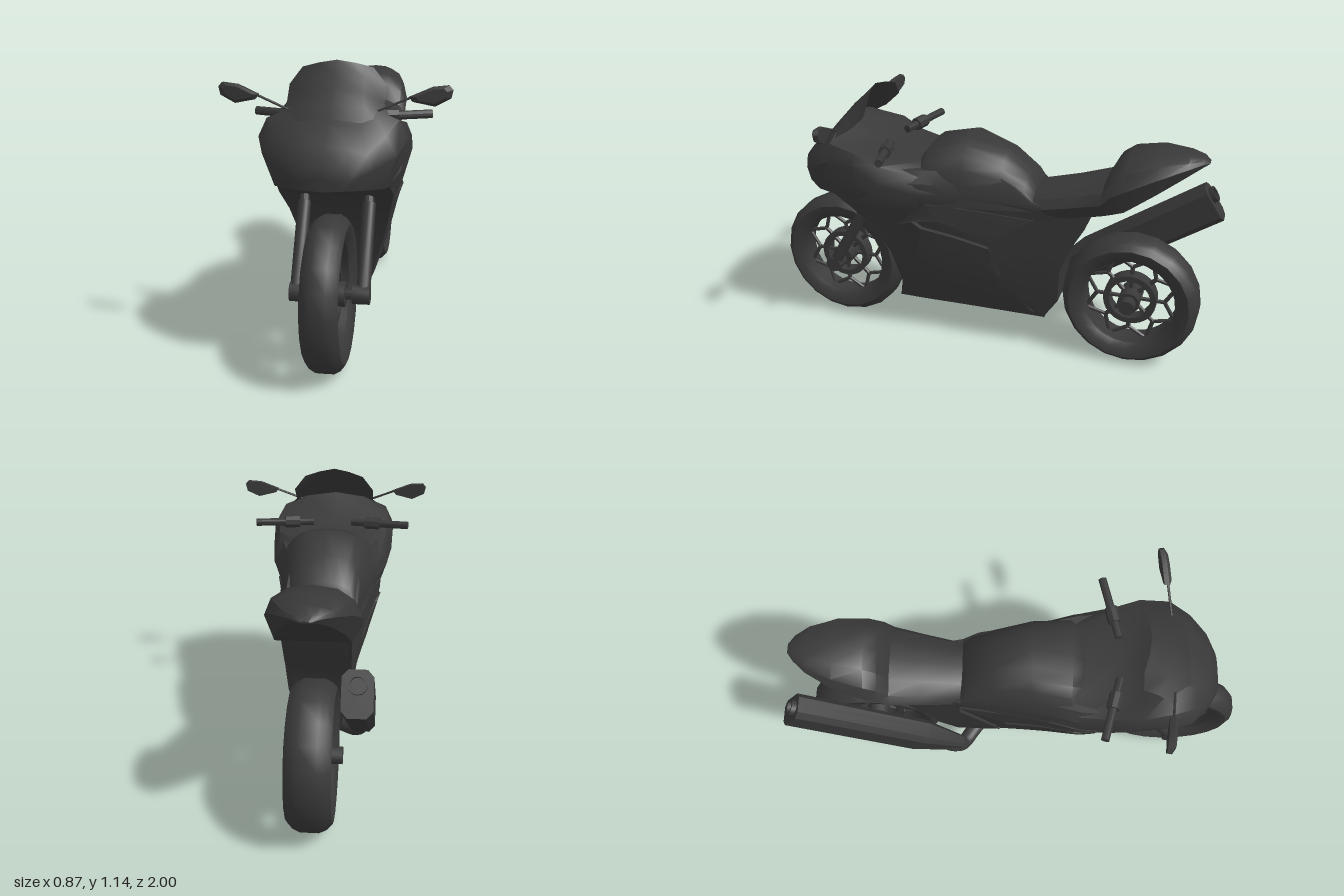
import * as THREE from 'three';
import { toCreasedNormals } from 'three/addons/utils/BufferGeometryUtils.js';

const paint = new THREE.MeshStandardMaterial({ color: 0x383838, side: THREE.DoubleSide });
const V = (x, y, z) => new THREE.Vector3(x, y, z);

function add(parent, name, geometry, crease = 0.6) {
  const mesh = new THREE.Mesh(toCreasedNormals(geometry, crease), paint);
  mesh.name = name;
  parent.add(mesh);
  return mesh;
}

function build(points, index) {
  const g = new THREE.BufferGeometry();
  g.setAttribute('position', new THREE.Float32BufferAttribute(points.flat(), 3));
  g.setIndex(index);
  return g;
}

// Skin over closed rings, capped at both ends
function loft(rings) {
  const n = rings[0].length, pts = rings.flat(), idx = [];
  for (let i = 0; i < rings.length - 1; i++) for (let j = 0; j < n; j++) {
    const a = i * n + j, b = i * n + (j + 1) % n;
    idx.push(a, b, a + n, b, b + n, a + n);
  }
  [0, rings.length - 1].forEach((r) => {
    const c = pts.length;
    pts.push([0, 1, 2].map((k) => rings[r].reduce((s, p) => s + p[k], 0) / n));
    for (let j = 0; j < n; j++) {
      const a = r * n + j, b = r * n + (j + 1) % n;
      idx.push(c, ...(r ? [a, b] : [b, a]));
    }
  });
  return build(pts, idx);
}

// Sheet over rows of points
function sheet(rows) {
  const n = rows[0].length, idx = [];
  for (let i = 0; i < rows.length - 1; i++) for (let j = 0; j < n - 1; j++) {
    const a = i * n + j;
    idx.push(a, a + 1, a + n, a + 1, a + n + 1, a + n);
  }
  return build(rows.flat(), idx);
}

// Symmetric ring from a half profile, top centre to bottom centre
const mirrored = (half, z) => [...half, ...half.slice(1, -1).reverse().map(([x, y]) => [-x, y])].map(([x, y]) => [x, y, z]);

// Cylinder between two points
function rod(parent, name, a, b, r, sides = 12) {
  const d = b.clone().sub(a);
  const mesh = add(parent, name, new THREE.CylinderGeometry(r, r, d.length(), sides));
  mesh.position.copy(a).addScaledVector(d, 0.5);
  mesh.quaternion.setFromUnitVectors(V(0, 1, 0), d.normalize());
}

function interp(table, v) {
  if (v <= table[0][0]) return table[0][1];
  for (let i = 1; i < table.length; i++) if (v <= table[i][0]) {
    const [a, p] = table[i - 1], [b, q] = table[i];
    return p + (q - p) * (v - a) / (b - a);
  }
  return table[table.length - 1][1];
}

// Half width of the side fairing at a height and depth
const WIDTH = [[0.15, 0.065], [0.26, 0.12], [0.43, 0.172], [0.55, 0.2], [0.64, 0.23], [0.74, 0.265], [0.8, 0.262], [0.86, 0.22]];
const TAPER = [[-0.5, 0.42], [-0.25, 0.52], [-0.05, 0.66], [0.1, 0.77], [0.25, 0.94], [0.45, 1], [0.55, 0.95], [0.65, 0.82]];
function side(y, z) {
  const k = interp(TAPER, z);
  return interp(WIDTH, y) * (k + (1 - k) * 0.6 * Math.max(0, 1 - y / 0.8));
}

function wheel(name, z, w) {
  const g = new THREE.Group();
  g.name = name;
  const ring = (part, half, seg) => {
    const prof = [...half, ...half.slice().reverse().map(([r, x]) => [r, -x]), half[0]];
    add(g, part, new THREE.LatheGeometry(prof.map((p) => new THREE.Vector2(...p)), seg), 0.65).rotation.z = Math.PI / 2;
  };
  ring('tyre', [[0.2, w * 0.65], [0.225, w * 0.92], [0.26, w], [0.282, w * 0.75], [0.295, w * 0.42]], 20);
  ring('rim', [[0.198, w * 0.6], [0.207, w * 0.68]], 24);
  ring('hubRing', [[0.09, 0.03], [0.115, 0.03]], 24);
  const at = (r, a) => V(0, Math.sin(a) * r, Math.cos(a) * r);
  for (let i = 0; i < 8; i++) {
    const a = i * Math.PI / 4;
    rod(g, 'spoke', at(0.03, a), at(0.15, a), 0.01, 6);
    for (const s of [-1, 1]) rod(g, 'spokeFork', at(0.147, a), at(0.205, a + s * 0.37), 0.009, 6);
  }
  rod(g, 'hub', V(-0.06, 0, 0), V(0.06, 0, 0), 0.048);
  g.position.set(0, 0.295, z);
  return g;
}

export function createModel() {
  const model = new THREE.Group(), bike = new THREE.Group();
  bike.name = 'motorcycle';
  bike.position.x = -0.007;
  model.add(bike);
  bike.add(wheel('frontWheel', 0.705, 0.069), wheel('rearWheel', -0.655, 0.087));

  // Side fairing and frame cover: layers of height, front z, back z
  const layers = [[0.85, 0.4, -0.08], [0.8, 0.5, -0.17], [0.74, 0.56, -0.24], [0.695, 0.64, -0.48], [0.64, 0.55, -0.46],
    [0.55, 0.46, -0.41], [0.43, 0.4, -0.36], [0.26, 0.37, -0.35], [0.147, 0.405, -0.28]];
  add(bike, 'sideFairing', loft(layers.map(([y, f, b]) => {
    const flank = [];
    for (let i = 0; i <= 10; i++) {
      const z = f + (b - f) * i / 10;
      flank.push([side(y, z), y, z]);
    }
    return [[0, y, f - 0.02], ...flank.map(([x, h, z]) => [-x, h, z]), [0, y, b], ...flank.reverse()];
  })), 0.45);

  // Nose cowl
  const cowl = [
    [0.83, [0, 0.8], [0.05, 0.795], [0.085, 0.775], [0.09, 0.745], [0.07, 0.715], [0, 0.71]],
    [0.785, [0, 0.865], [0.085, 0.855], [0.145, 0.835], [0.165, 0.78], [0.14, 0.71], [0, 0.705]],
    [0.71, [0, 0.93], [0.12, 0.915], [0.205, 0.89], [0.245, 0.82], [0.2, 0.7], [0, 0.69]],
    [0.62, [0, 1], [0.14, 0.98], [0.245, 0.935], [0.278, 0.865], [0.215, 0.69], [0, 0.68]],
    [0.5, [0, 0.9], [0.17, 0.915], [0.262, 0.91], [0.283, 0.86], [0.235, 0.66], [0, 0.64]],
    [0.4, [0, 0.865], [0.16, 0.875], [0.25, 0.86], [0.278, 0.79], [0.24, 0.66], [0, 0.64]],
    [0.25, [0, 0.86], [0.15, 0.865], [0.23, 0.83], [0.257, 0.76], [0.215, 0.65], [0, 0.65]],
    [0.08, [0, 0.82], [0.14, 0.81], [0.18, 0.79], [0.2, 0.74], [0.16, 0.66], [0, 0.66]]];
  add(bike, 'noseCowl', loft(cowl.map(([z, ...half]) => mirrored(half, z))), 0.8);

  // Windscreen
  const screen = [
    [[0.2, 0.89, 0.685], [0.12, 0.917, 0.7], [0, 0.932, 0.7]],
    [[0.205, 0.95, 0.61], [0.12, 0.985, 0.642], [0, 0.997, 0.652]],
    [[0.183, 0.985, 0.55], [0.11, 1.025, 0.595], [0, 1.04, 0.615]],
    [[0.185, 1.045, 0.485], [0.11, 1.075, 0.54], [0, 1.09, 0.56]],
    [[0.135, 1.11, 0.48], [0.07, 1.128, 0.5], [0, 1.14, 0.51]]];
  add(bike, 'windscreen', sheet(screen.map((r) => [...r.map(([x, y, z]) => [-x, y, z]), ...r.slice(0, 2).reverse()])), 0.8);

  // Fuel tank: z, top, half width
  const tank = [[0.275, 0.862, 0.19], [0.22, 0.935, 0.222], [0.055, 0.975, 0.2], [-0.105, 0.915, 0.17], [-0.205, 0.835, 0.15], [-0.245, 0.76, 0.142]];
  add(bike, 'fuelTank', loft(tank.map(([z, top, w]) => {
    const half = [];
    for (let i = 0; i <= 6; i++) {
      const a = i * Math.PI / 12;
      half.push([w * Math.sin(a) ** 0.8, 0.7 + (top - 0.7) * Math.max(0, Math.cos(a)) ** 0.75]);
    }
    return mirrored([...half, [0, 0.7]], z);
  })), 0.8);

  // Seat and tail: z, top, bottom, half width
  const seat = [[-0.235, 0.78, 0.645, 0.14], [-0.4, 0.82, 0.69, 0.16], [-0.53, 0.86, 0.725, 0.177], [-0.57, 0.94, 0.738, 0.18],
    [-0.62, 0.978, 0.755, 0.18], [-0.74, 1.0, 0.84, 0.155], [-0.85, 0.992, 0.915, 0.1], [-0.9, 0.98, 0.945, 0.055], [-0.925, 0.962, 0.955, 0.02]];
  add(bike, 'seatAndTail', loft(seat.map(([z, t, b, w]) => {
    const h = t - b;
    return mirrored([[0, t], [w * 0.5, t - h * 0.06], [w * 0.85, t - h * 0.25], [w, t - h * 0.55], [w * 0.8, b], [0, b]], z);
  })), 0.6);

  for (const s of [1, -1]) {
    const on = ([z, y], d) => [s * (side(y, z) + d), y, z];
    const mix = (a, b, t) => a.map((v, i) => v + (b[i] - v) * t);
    const steps = [0, 0.2, 0.4, 0.6, 0.8, 1];
    // Raised side panel around the air vent
    const outer = [[0.34, 0.165], [0.35, 0.58], [0.2, 0.71], [-0.25, 0.66], [-0.1, 0.36], [-0.24, 0.165]];
    const vent = [[0.23, 0.585], [0.265, 0.62], [0.15, 0.628], [-0.06, 0.54], [-0.055, 0.505], [0.08, 0.543]];
    outer.forEach((p, i) => {
      const k = (i + 1) % outer.length;
      const rows = steps.map((u) => {
        const a = mix(p, outer[k], u), b = mix(vent[i], vent[k], u);
        return [on(a, -0.01), ...steps.map((t) => on(mix(a, b, t), 0.006 + 0.016 * t)), on(b, -0.012)];
      });
      add(bike, 'ventPanel', sheet(s > 0 ? rows : rows.reverse()), 0.5);
    });
    // Rear frame cover plate
    const front = [[-0.25, 0.65], [-0.14, 0.47], [-0.085, 0.33], [-0.265, 0.17]];
    const back = [[-0.49, 0.715], [-0.4, 0.54], [-0.36, 0.42], [-0.29, 0.16]];
    const cover = front.map((f, i) => [on(f, -0.01), ...steps.map((t) => on(mix(f, back[i], t), 0.021)), on(back[i], -0.01)]);
    add(bike, 'frameCover', sheet(s > 0 ? cover.reverse() : cover), 0.6);

    // Fork leg
    rod(bike, 'forkLeg', V(s * 0.125, 0.3, 0.705), V(s * 0.125, 0.6, 0.53), 0.026);
    rod(bike, 'forkTube', V(s * 0.125, 0.58, 0.54), V(s * 0.125, 0.8, 0.415), 0.02);
    rod(bike, 'forkFoot', V(s * 0.085, 0.295, 0.705), V(s * 0.15, 0.295, 0.705), 0.036);

    // Handlebar grip with clamp
    rod(bike, 'handlebar', V(s * 0.09, 0.912, 0.41), V(s * 0.35, 0.92, 0.345), 0.017);
    rod(bike, 'gripClamp', V(s * 0.155, 0.914, 0.394), V(s * 0.22, 0.916, 0.378), 0.028, 8);

    // Mirror: stalk and faceted head
    rod(bike, 'mirrorStalk', V(s * 0.16, 0.965, 0.62), V(s * 0.29, 1.018, 0.6), 0.005, 6);
    const outline = [[0.275, 1.018], [0.36, 1.054], [0.42, 1.06], [0.435, 1.043], [0.428, 1.012], [0.37, 0.983], [0.29, 1.0]];
    const head = [[0.016, 0.7], [0.004, 1], [-0.016, 0.95]].map(([z, k]) => outline.map(([x, y]) => {
      const px = 0.36 + (x - 0.36) * k;
      return [s * px, 1.022 + (y - 1.022) * k, 0.592 + z - (px - 0.35) * 0.15];
    }));
    add(bike, 'mirrorHead', loft(s > 0 ? head : head.map((r) => r.reverse())), 0.4);
  }

  // Axles
  rod(bike, 'frontAxle', V(-0.12, 0.295, 0.705), V(0.12, 0.295, 0.705), 0.02);
  rod(bike, 'rearAxle', V(-0.115, 0.295, -0.655), V(0.105, 0.295, -0.655), 0.034);

  // Exhaust: header pipe, faceted muffler and outlet
  const path = new THREE.CatmullRomCurve3([V(-0.03, 0.188, -0.17), V(-0.1, 0.188, -0.22), V(-0.152, 0.192, -0.255), V(-0.18, 0.24, -0.29), V(-0.18, 0.31, -0.36)]);
  add(bike, 'headerPipe', new THREE.TubeGeometry(path, 18, 0.035, 12));
  const muffler = new THREE.Group();
  muffler.name = 'muffler';
  muffler.position.set(-0.178, 0.277, -0.295);
  muffler.rotation.x = 0.59;
  bike.add(muffler);
  const half = [[0, 0.083], [0.033, 0.083], [0.055, 0.058], [0.055, -0.058], [0.033, -0.083], [0, -0.083]];
  add(muffler, 'mufflerBody', loft([[0.03, 0.5], [-0.18, 1], [-0.79, 1]].map(([z, k]) =>
    mirrored(half.map(([x, y]) => [x * k, y * k]), z))), 0.4);
  const outlet = [[0.02, 0], [0.035, 0], [0.035, 0.05], [0.026, 0.05], [0.026, 0.01]].map((p) => new THREE.Vector2(...p));
  const tip = add(muffler, 'outlet', new THREE.LatheGeometry(outlet, 12));
  tip.rotation.x = -Math.PI / 2;
  tip.position.set(0, 0.03, -0.76);
  return model;
}
